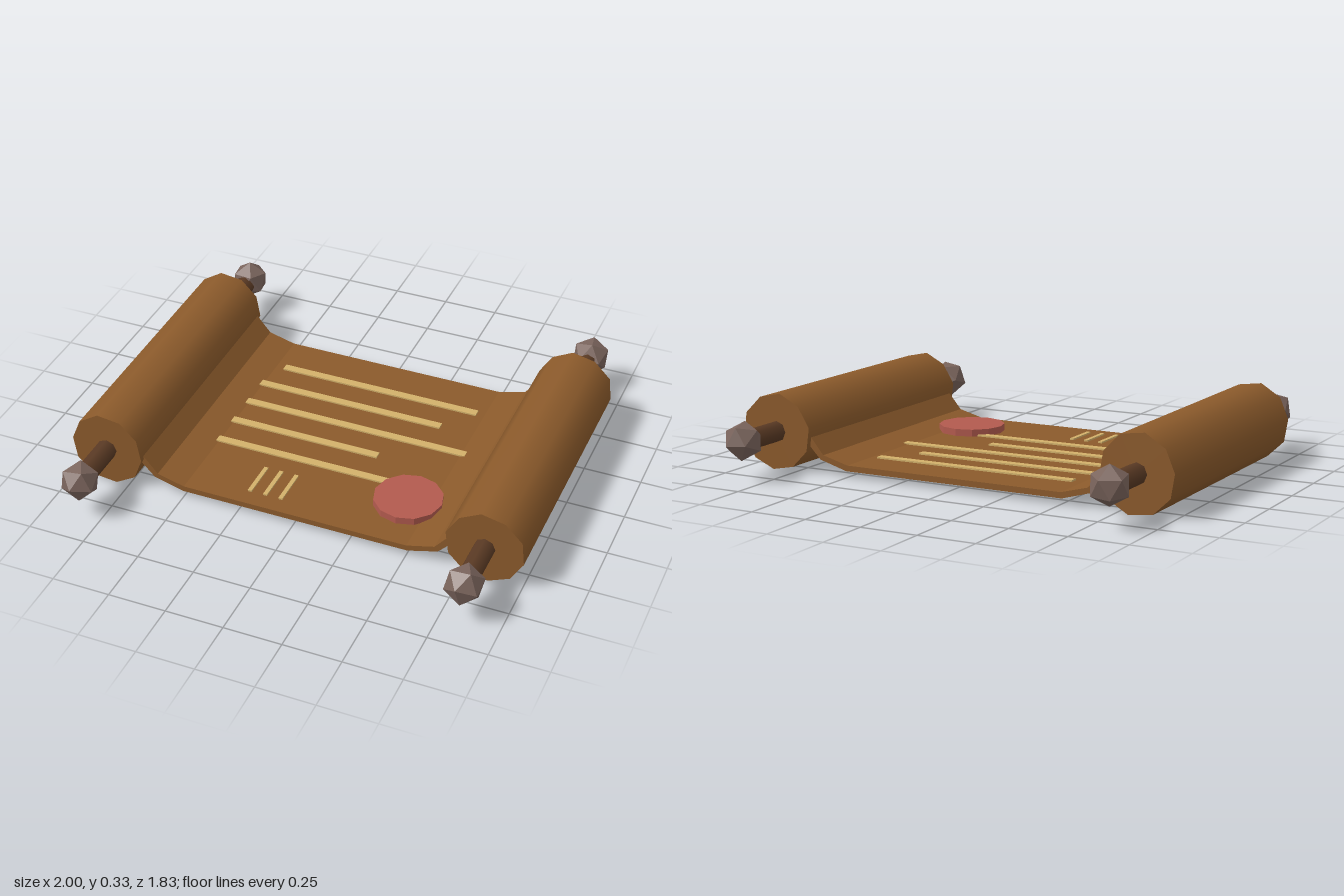
import * as THREE from 'three';

const mat = (name, color) => {
  const m = new THREE.MeshStandardMaterial({ color });
  m.name = name;
  return m;
};

export function createModel() {
  const root = new THREE.Group();
  root.name = 'scroll';
  const parchment = mat('parchment brown', 0x8b5a2b);
  const wood = mat('dark wood', 0x5a3a24);
  const knobMat = mat('knob grey brown', 0x7a645c);
  const ink = mat('gold ink', 0xd2b06a);
  const wax = mat('wax red', 0xb25a4e);

  const add = (name, geometry, material, x = 0, y = 0, z = 0) => {
    const mesh = new THREE.Mesh(geometry, material);
    mesh.name = name;
    mesh.position.set(x, y, z);
    root.add(mesh);
    return mesh;
  };
  const flat = (g) => {
    const f = g.index ? g.toNonIndexed() : g;
    f.computeVertexNormals();
    return f;
  };

  // Open sheet curling up into the rolls
  const half = [[0.5, 0.06], [0.62, 0.092], [0.69, 0.175]];
  const under = [[0.71, 0.15], [0.635, 0.072], [0.505, 0.035]];
  const right = [...half, ...under];
  const left = right.map(([x, y]) => [-x, y]).reverse();
  const outline = [...right, ...left].map(([x, y]) => new THREE.Vector2(x, y));
  const sheet = new THREE.ExtrudeGeometry(new THREE.Shape(outline), { depth: 1.15, bevelEnabled: false });
  add('sheet', sheet, parchment, 0, 0, -0.575);

  // Slightly uneven hand-rolled ends, smooth around the side
  const rollGeometry = (radii) => {
    const n = radii.length;
    const g = new THREE.CylinderGeometry(1, 1, 1.2, n, 1);
    const p = g.attributes.position;
    for (let i = 0; i < p.count; i++) {
      const x = p.getX(i), z = p.getZ(i);
      if (Math.hypot(x, z) < 0.01) continue;
      const k = Math.round((Math.atan2(x, z) / (2 * Math.PI)) * n + n) % n;
      p.setX(i, x * radii[k]);
      p.setZ(i, z * radii[k]);
    }
    return g.rotateX(Math.PI / 2);
  };
  const rolls = [
    ['leftRoll', 0.838, [0.163, 0.165, 0.168, 0.17, 0.166, 0.168, 0.163, 0.168, 0.166, 0.163], 0.12],
    ['rightRoll', -0.84, [0.168, 0.166, 0.16, 0.163, 0.168, 0.17, 0.165, 0.162, 0.166, 0.168], 0.2],
  ];
  for (const [name, x, radii, turn] of rolls) {
    add(name, rollGeometry(radii), parchment, x, 0.174, 0).rotation.z = turn;
    // Rod through the roll with a faceted knob at each end
    add('rod', new THREE.CylinderGeometry(0.045, 0.045, 1.64, 8).rotateX(Math.PI / 2), wood, x, 0.177, 0);
    for (const s of [-1, 1]) {
      const knob = add('knob', flat(new THREE.IcosahedronGeometry(0.085, 0)), knobMat, x, 0.18, s * 0.836);
      knob.rotation.set(0.4 * s + x, 0.5 * x, 0.7 * s);
    }
  }

  // Written lines: [x start, x end, z]
  const lines = [
    [-0.46, 0.465, -0.38], [-0.51, 0.35, -0.23], [-0.51, 0.52, -0.08],
    [-0.51, 0.175, 0.07], [-0.51, 0.38, 0.22],
  ];
  for (const [a, b, z] of lines) {
    add('writtenLine', new THREE.BoxGeometry(b - a, 0.009, 0.036), ink, (a + b) / 2, 0.0625, z);
  }
  // Short signature strokes
  for (const x of [-0.23, -0.16, -0.09]) {
    add('signatureStroke', new THREE.BoxGeometry(0.018, 0.009, 0.17), ink, x, 0.0625, 0.415);
  }

  // Wax seal
  add('waxSeal', flat(new THREE.CylinderGeometry(0.148, 0.148, 0.036, 12)), wax, 0.408, 0.073, 0.313);
  return root;
}
